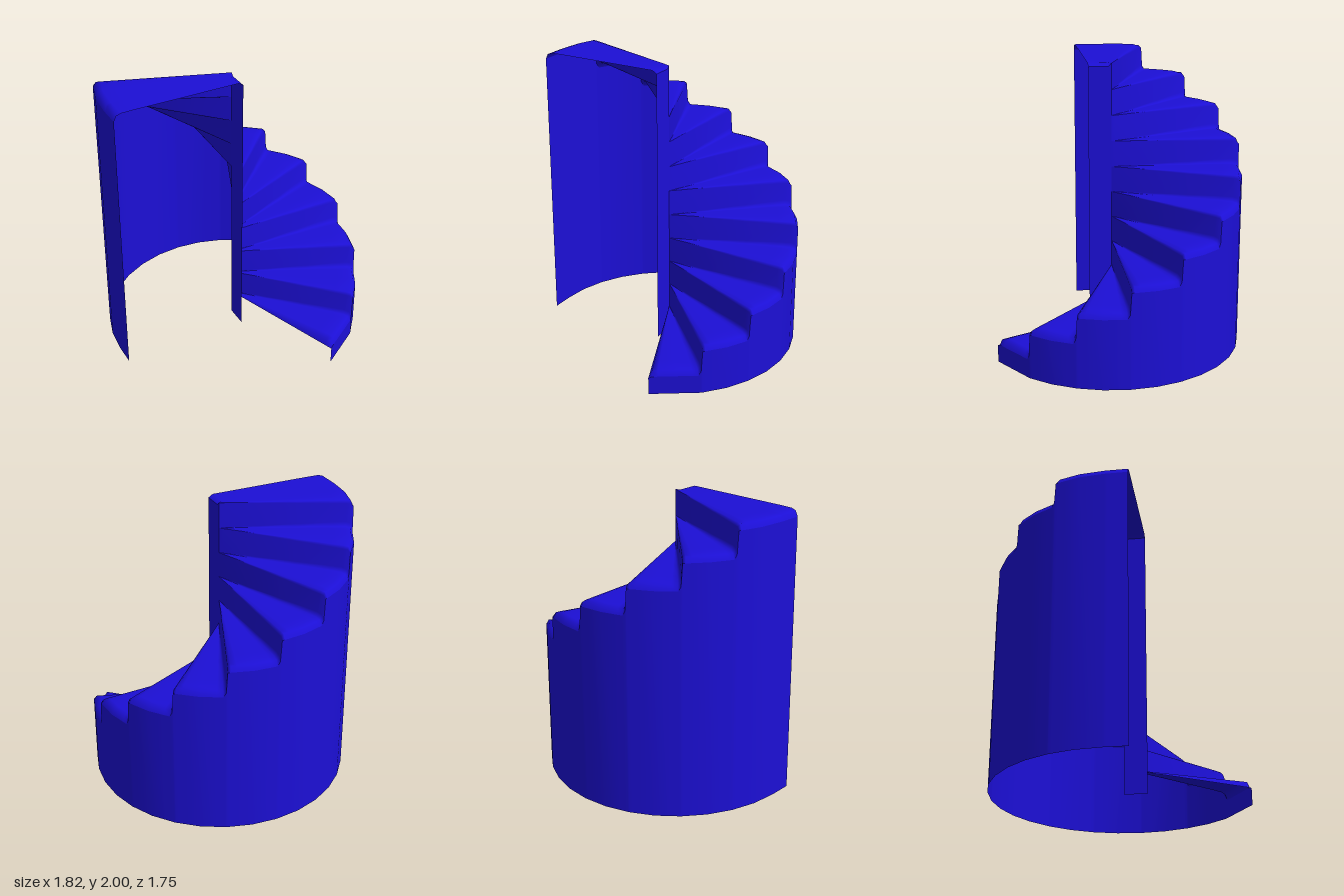
import * as THREE from 'three';

const STEPS = 11, RISE = 2 / STEPS, TURN = 22.5, START = 67.5;
const R = 0.91, AXIS_Z = 0.03, FRONT_Z = 0.19;
const material = new THREE.MeshStandardMaterial({ color: 0x1c0fd6, side: THREE.DoubleSide });

// Point on the faceted rim; the lowest step has a single straight chord
function rimPoint(deg) {
  const at = d => new THREE.Vector2(Math.cos(d * Math.PI / 180) * R, AXIS_Z + Math.sin(d * Math.PI / 180) * R);
  const span = deg > START - TURN ? TURN : TURN / 2;
  const i = Math.floor((START - deg) / span + 1e-6);
  const d0 = START - i * span;
  return at(d0).lerp(at(d0 - span), (d0 - deg) / span);
}

// Smooth skin through rows of points
function skin(name, rows) {
  const n = rows[0].length, index = [];
  for (let i = 0; i < rows.length - 1; i++) {
    for (let j = 0; j < n - 1; j++) {
      const a = i * n + j, b = a + 1, c = b + n, d = a + n;
      index.push(a, b, c, a, c, d);
    }
  }
  const geometry = new THREE.BufferGeometry().setFromPoints(rows.flat());
  geometry.setIndex(index);
  geometry.computeVertexNormals();
  const mesh = new THREE.Mesh(geometry, material);
  mesh.name = name;
  return mesh;
}

// Radial lines of the stair surface: foot, riser, rounded nose, flat tread
function stairColumns() {
  const axis = new THREE.Vector2(0, AXIS_Z), columns = [];
  const add = (deg, base, offset = 0) =>
    columns.push({ inner: axis, outer: rimPoint(deg), base, offset, innerDrop: 0 });
  for (let k = 0; k < STEPS; k++) {
    const a = START - k * TURN, y = (k + 1) * RISE;
    if (k > 0) {
      add(a + 1.5, y - RISE);
      add(a + 0.3, y - RISE, 0.03);
      add(a - 0.3, y, -0.03);
    } else {
      add(a, y, -0.06);
    }
    add(a - 1.5, y, -0.012);
    add(a - 4, y);
    add(a - TURN / 2, y);
    if (k < STEPS - 1) add(a - TURN + 4, y);
  }
  // Landing: straight extension of the top step
  add(-179.99, 2);
  for (const z of [AXIS_Z + 0.02, FRONT_Z]) {
    columns.push({
      inner: new THREE.Vector2(0, z), outer: new THREE.Vector2(-R, z),
      base: 2, offset: 0, innerDrop: 0.02,
    });
  }
  return columns;
}

export function createModel() {
  const group = new THREE.Group();
  group.name = 'spiralStaircase';

  // Stations from axis to rim: [fraction of radius, rounding drop]
  const stations = [[0, 0], [0.035, 0], [0.3, 0], [0.6, 0], [0.85, 0], [0.945, 0.002], [0.98, 0.013], [1, 0.05]];
  const rows = stairColumns().map(c => stations.map(([t, drop], j) => {
    const p = c.inner.clone().lerp(c.outer, t);
    const lift = c.offset * t;
    let y = c.base + (lift > 0 ? lift - drop : Math.min(lift, -drop));
    if (j === 0) y -= c.innerDrop;
    return new THREE.Vector3(p.x, y, p.y);
  }));
  group.add(skin('stepsAndLanding', rows));

  // Outer wall hangs from the rim to the ground
  const wallRows = rows.map(row => {
    const top = row[row.length - 1];
    return [top.clone(), new THREE.Vector3(top.x, 0, top.z)];
  });
  group.add(skin('outerWall', wallRows));

  // Narrow inner wall below the landing
  const innerRows = [FRONT_Z, AXIS_Z + 0.02, AXIS_Z].map((z, i) => [
    new THREE.Vector3(0, i === 2 ? 2 : 1.98, z), new THREE.Vector3(0, 0, z),
  ]);
  group.add(skin('innerWall', innerRows));

  return group;
}
